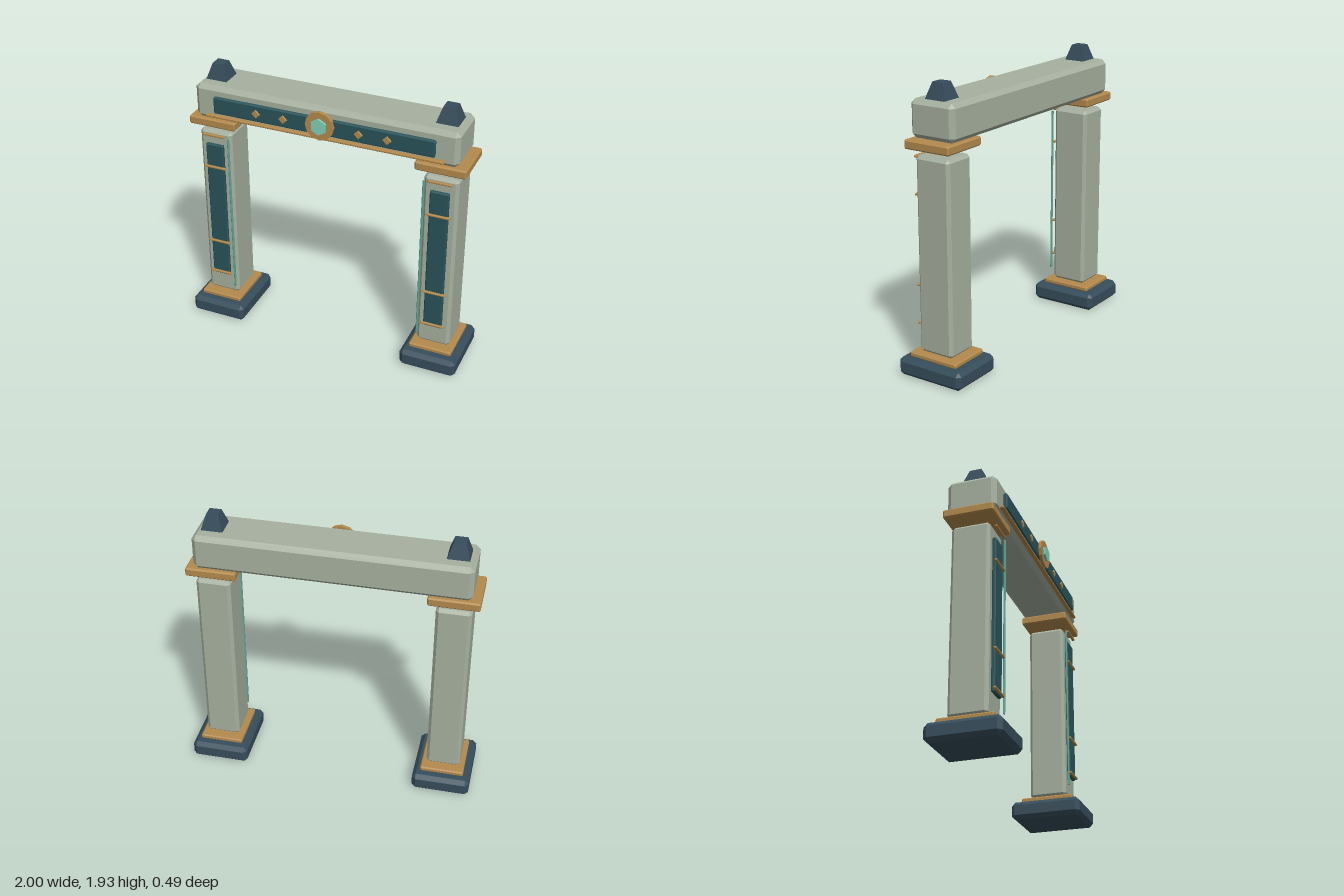
import * as THREE from 'three';
import { ConvexGeometry } from 'three/addons/geometries/ConvexGeometry.js';

const mat = (color) => new THREE.MeshStandardMaterial({ color, flatShading: true });
const stone = mat(0xa6b09f);
const navy = mat(0x364d5b);
const teal = mat(0x28545a);
const gold = mat(0xb38a4c);
const mint = mat(0x62a595);
const gem = mat(0x7fd0b8);

// Box with every edge and corner cut flat by c
function chamferBox(w, h, d, c) {
  const points = [];
  const half = [w / 2, h / 2, d / 2];
  for (const sx of [-1, 1]) for (const sy of [-1, 1]) for (const sz of [-1, 1]) {
    for (let full = 0; full < 3; full++) {
      const p = half.map((v, i) => (i === full ? v : v - c));
      points.push(new THREE.Vector3(p[0] * sx, p[1] * sy, p[2] * sz));
    }
  }
  return new ConvexGeometry(points);
}

function add(parent, name, geometry, material, x, y, z) {
  const mesh = new THREE.Mesh(geometry, material);
  mesh.name = name;
  mesh.position.set(x, y, z);
  parent.add(mesh);
  return mesh;
}

// Chamfered box given by its bottom/top and back/front limits
function block(parent, name, material, x, w, y0, y1, z0, z1, c) {
  return add(parent, name, chamferBox(w, y1 - y0, z1 - z0, c), material, x, (y0 + y1) / 2, (z0 + z1) / 2);
}

function createPillar(side) {
  const pillar = new THREE.Group();
  pillar.name = side > 0 ? 'leftPillar' : 'rightPillar';
  const x = side * 0.8;
  block(pillar, 'base', navy, x, 0.4, 0, 0.125, -0.247, 0.247, 0.027);
  block(pillar, 'baseTrim', gold, x, 0.302, 0.125, 0.16, -0.183, 0.183, 0.008);
  block(pillar, 'column', stone, x, 0.235, 0.165, 1.47, -0.13, 0.13, 0.021);
  block(pillar, 'columnPanel', teal, x, 0.13, 0.32, 1.377, 0.128, 0.155, 0.007);
  for (const y of [0.342, 0.602, 1.205, 1.45]) {
    block(pillar, 'columnBand', gold, x, 0.162, y - 0.008, y + 0.008, 0.148, 0.168, 0.004);
  }
  // Slim light strip by the inner edge of the column
  block(pillar, 'lightStrip', mint, side * 0.693, 0.014, 0.24, 1.445, 0.147, 0.16, 0.003);
  block(pillar, 'capital', gold, x, 0.34, 1.515, 1.575, -0.17, 0.17, 0.009);
  // Square tapered finial
  const finial = new THREE.CylinderGeometry(0.04 * Math.SQRT2, 0.074 * Math.SQRT2, 0.107, 4);
  finial.rotateY(Math.PI / 4);
  add(pillar, 'finial', finial, navy, x, 1.872, 0);
  return pillar;
}

function createLintel() {
  const lintel = new THREE.Group();
  lintel.name = 'lintel';
  block(lintel, 'beam', stone, 0, 1.832, 1.575, 1.82, -0.167, 0.167, 0.03);
  block(lintel, 'beamPanel', teal, 0, 1.536, 1.638, 1.757, 0.165, 0.193, 0.008);
  block(lintel, 'beamTrim', gold, 0, 1.66, 1.605, 1.622, 0.16, 0.194, 0.004);
  // Diamond studs on both sides of the medallion
  for (const x of [-0.455, -0.262, 0.262, 0.455]) {
    const stud = add(lintel, 'diamondStud', chamferBox(0.044, 0.044, 0.016, 0.003), gold, x, 1.697, 0.193);
    stud.rotation.z = Math.PI / 4;
  }
  // Medallion disc with a six-sided gem
  const disc = new THREE.CylinderGeometry(0.099, 0.099, 0.025, 12).rotateX(Math.PI / 2);
  add(lintel, 'medallion', disc, gold, 0, 1.71, 0.2005);
  const stone6 = new THREE.CylinderGeometry(0.057, 0.057, 0.03, 6).rotateX(Math.PI / 2);
  add(lintel, 'medallionGem', stone6, gem, 0, 1.71, 0.213);
  return lintel;
}

export function createModel() {
  const gate = new THREE.Group();
  gate.name = 'gate';
  gate.add(createPillar(-1), createPillar(1), createLintel());
  return gate;
}
